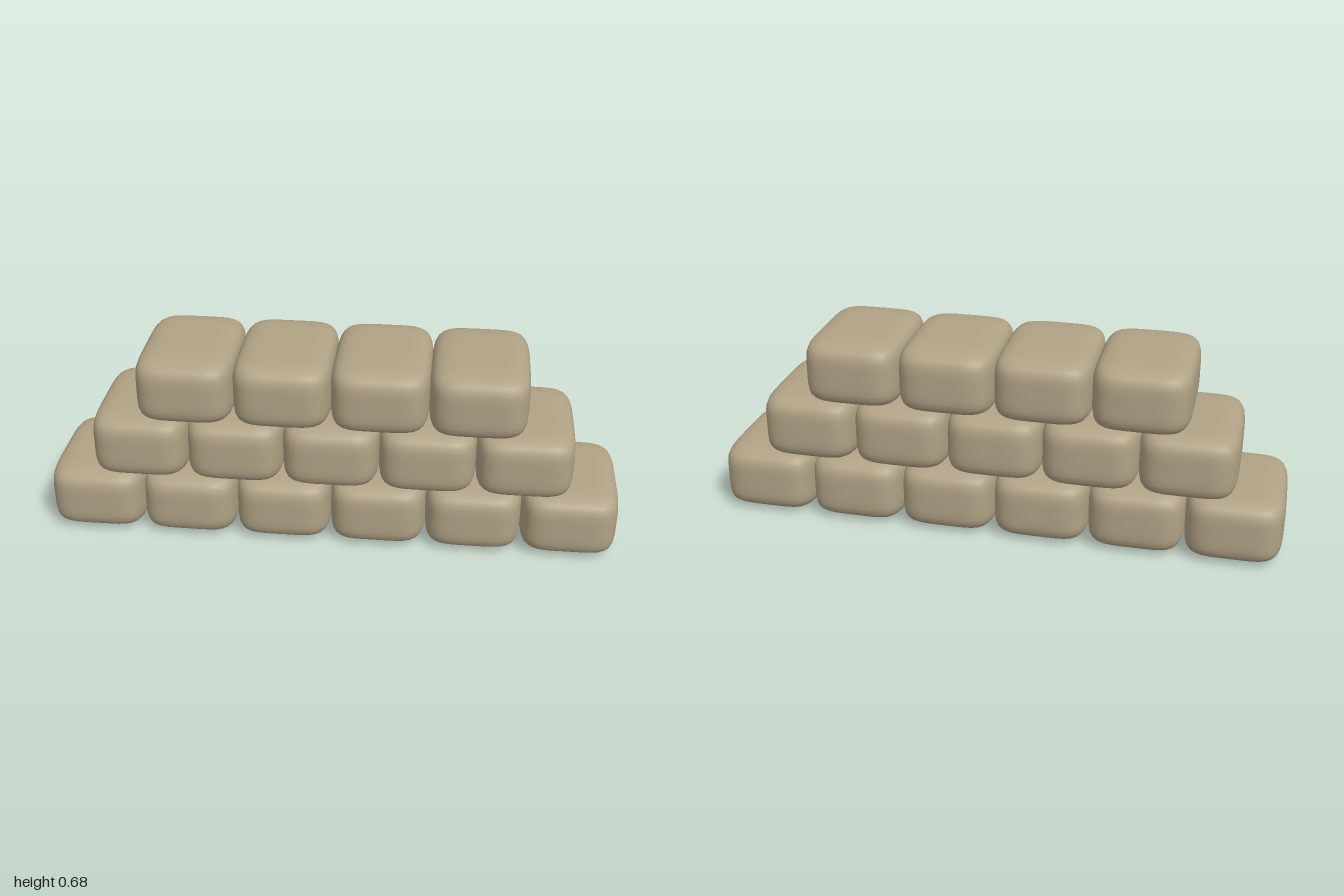
import * as THREE from 'three';

const BAG = { x: 0.168, y: 0.1175, z: 0.234 }; // half sizes
const PITCH_X = 0.3328, PITCH_Y = 0.22, POWER = 5;

// Plump pillow: a subdivided cube pushed onto a superellipsoid, with smooth normals
function bagGeometry() {
  const geo = new THREE.BoxGeometry(2, 2, 2, 12, 12, 12);
  const pos = geo.attributes.position, nor = geo.attributes.normal;
  const p = new THREE.Vector3(), n = new THREE.Vector3();
  const slope = (v) => Math.sign(v) * Math.abs(v) ** (POWER - 1);
  for (let i = 0; i < pos.count; i++) {
    p.fromBufferAttribute(pos, i);
    const len = Math.abs(p.x) ** POWER + Math.abs(p.y) ** POWER + Math.abs(p.z) ** POWER;
    p.divideScalar(len ** (1 / POWER));
    n.set(slope(p.x) / BAG.x, slope(p.y) / BAG.y, slope(p.z) / BAG.z).normalize();
    pos.setXYZ(i, p.x * BAG.x, p.y * BAG.y, p.z * BAG.z);
    nor.setXYZ(i, n.x, n.y, n.z);
  }
  return geo;
}

export function createModel() {
  const model = new THREE.Group();
  model.name = 'sandbagWall';
  const burlap = new THREE.MeshStandardMaterial({ color: 0xb0a285 });
  burlap.name = 'burlap';
  const geo = bagGeometry();

  // Three staggered courses, each one bag shorter than the one below
  [6, 5, 4].forEach((count, row) => {
    const course = new THREE.Group();
    course.name = `course${row + 1}`;
    course.position.y = BAG.y + row * PITCH_Y;
    for (let i = 0; i < count; i++) {
      const bag = new THREE.Mesh(geo, burlap);
      bag.name = `sandbag${i + 1}`;
      bag.position.x = (i - (count - 1) / 2) * PITCH_X;
      course.add(bag);
    }
    model.add(course);
  });
  return model;
}
